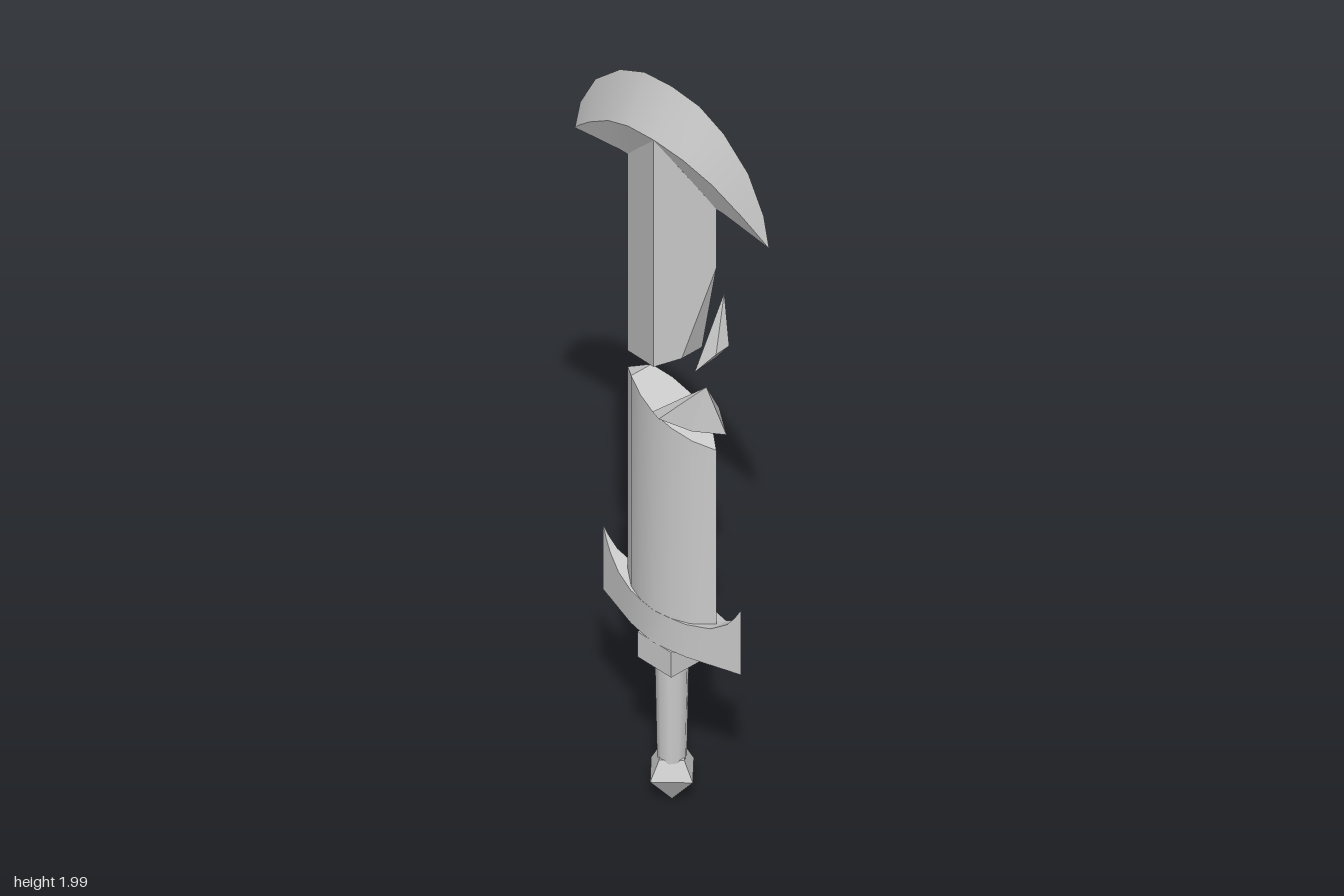
import * as THREE from 'three';
import { toCreasedNormals } from 'three/addons/utils/BufferGeometryUtils.js';
import { ConvexGeometry } from 'three/addons/geometries/ConvexGeometry.js';

const MID = -0.012; // z of the sword's middle plane

// Skin four-cornered rings of [y, z] placed at rising x; the ends close to an edge
function loft(stations, crease) {
  const pos = [], index = [];
  stations.forEach(({ x, ring }) => ring.forEach(([y, z]) => pos.push(x, y, z)));
  for (let i = 0; i < stations.length - 1; i++) {
    for (let j = 0; j < 4; j++) {
      const k = (j + 1) % 4;
      const a = i * 4 + j, b = i * 4 + k, c = b + 4, d = a + 4;
      index.push(a, d, c, a, c, b);
    }
  }
  const geo = new THREE.BufferGeometry();
  geo.setAttribute('position', new THREE.Float32BufferAttribute(pos, 3));
  geo.setIndex(index);
  return toCreasedNormals(geo, crease);
}

// Station of a slab: bottom y, top y, half thickness
const slab = ([x, y0, y1, t]) => ({ x, ring: [[y0, t], [y1, t], [y1, -t], [y0, -t]] });
// Station of the crescent: lower edge, ridge, outer edge, half thickness
const wedge = ([x, low, ridge, outer, t]) => ({ x, ring: [[low, 0], [ridge, t], [outer, 0], [ridge, -t]] });
// Mirror a half list, given from x = 0 outward, to both sides
const mirrored = (half) => [
  ...half.slice(1).reverse().map(([x, ...rest]) => [-x, ...rest]),
  ...half,
];

export function createModel() {
  const group = new THREE.Group();
  const smooth = new THREE.MeshStandardMaterial({ color: 0xcccccc });
  const flat = new THREE.MeshStandardMaterial({ color: 0xcccccc, flatShading: true });
  const add = (name, geo, material, y = 0, z = MID) => {
    const mesh = new THREE.Mesh(geo, material);
    mesh.name = name;
    mesh.position.set(0, y, z);
    group.add(mesh);
    return mesh;
  };

  // Crescent head with a sharp outer edge
  add('crescentHead', loft(mirrored([
    [0, 1.735, 1.88, 2.0, 0.058],
    [0.09, 1.735, 1.868, 1.992, 0.052],
    [0.17, 1.733, 1.833, 1.957, 0.037],
    [0.25, 1.724, 1.778, 1.888, 0.02],
    [0.3, 1.718, 1.735, 1.797, 0.007],
    [0.318, 1.715, 1.715, 1.715, 0],
  ]).map(wedge), 0.5), smooth);

  // Upper blade: diamond section, broken off along a slanting line
  add('upperBlade', loft([
    [-0.145, 1.185, 1.736, 0],
    [0, 1.245, 1.88, 0.057],
    [0.065, 1.29, 1.815, 0.0315],
    [0.145, 1.57, 1.736, 0],
  ].map(slab), 0.5), smooth);

  // Lower blade: rounded lens section with a broken top
  add('lowerBlade', loft([
    [-0.145, 0.5, 1.14, 0],
    [-0.1, 0.5, 1.155, 0.032],
    [-0.05, 0.5, 1.136, 0.05],
    [0, 0.5, 1.116, 0.057],
    [0.05, 0.5, 1.097, 0.05],
    [0.1, 0.5, 1.078, 0.032],
    [0.145, 0.5, 1.06, 0],
  ].map(slab), 0.6), smooth);

  // Guard with upswept horns
  add('guard', loft(mirrored([
    [0, 0.475, 0.565, 0.0575],
    [0.05, 0.475, 0.565, 0.0505],
    [0.09, 0.475, 0.566, 0.043],
    [0.15, 0.475, 0.576, 0.024],
    [0.19, 0.475, 0.602, 0.011],
    [0.21, 0.475, 0.628, 0.005],
    [0.225, 0.475, 0.655, 0],
  ]).map(slab), 0.5), smooth);

  // Collar, grip and pointed pommel
  add('collar', new THREE.BoxGeometry(0.11, 0.07, 0.11), flat, 0.44);
  add('grip', new THREE.CylinderGeometry(0.039, 0.034, 0.28, 10), smooth, 0.27);
  const pommel = [[0, 0.01], [0.068, 0.09], [0.04, 0.138], [0, 0.138]];
  add('pommel', new THREE.LatheGeometry(pommel.map(([r, y]) => new THREE.Vector2(r, y)), 4), flat);

  // Loose shards beside the break
  const shard = (points) => new ConvexGeometry(points.map((p) => new THREE.Vector3(...p)));
  add('upperShard', shard([
    [0.152, 1.495, -0.03], [0.168, 1.355, -0.03], [0.162, 1.345, 0.005],
    [0.118, 1.285, 0.03], [0.135, 1.31, -0.02],
  ]), flat, 0, 0);
  add('lowerShard', shard([
    [0.018, 1.14, 0.066], [0.05, 1.142, 0.077], [0.14, 1.147, 0.06],
    [0.165, 1.273, 0.038], [0.207, 1.15, 0.015], [0.13, 1.16, -0.035], [0.03, 1.142, 0.03],
  ]), flat, 0, 0);

  return group;
}
